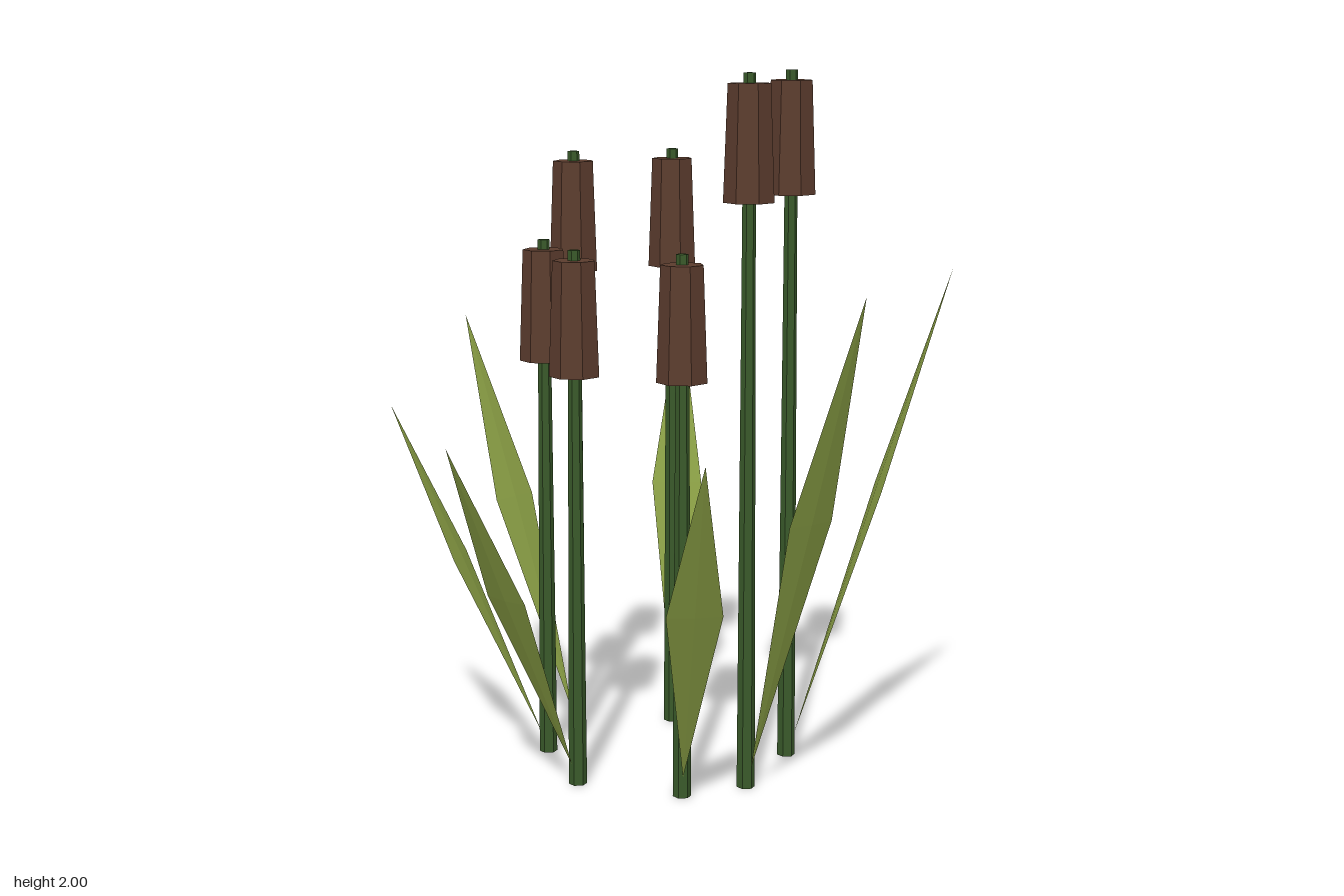
import * as THREE from 'three';

const headMat = new THREE.MeshStandardMaterial({ color: 0x5c3d2e, flatShading: true });
headMat.name = 'brown seed head';
const stemMat = new THREE.MeshStandardMaterial({ color: 0x3a5a2a, flatShading: true });
stemMat.name = 'dark green stem';
const leafMat = new THREE.MeshStandardMaterial({ color: 0x8a9f45, flatShading: true });
leafMat.name = 'light green leaf';

// One entry per reed: stem x, z, height, then leaf tip x, y, z
const REEDS = [
  [0.336, 0.02, 2.0, 0.8, 1.44, 0.062],
  [0.174, 0.288, 2.0, 0.42, 1.44, 0.677],
  [-0.015, 0.344, 1.52, -0.015, 1.03, 0.805],
  [-0.295, 0.202, 1.52, -0.66, 1.03, 0.486],
  [-0.357, -0.103, 1.52, -0.8, 1.03, -0.222],
  [-0.256, -0.271, 1.76, -0.565, 1.24, -0.61],
  [0.045, -0.357, 1.76, 0.127, 1.24, -0.81],
];

// Thin kite-shaped blade: an octahedron stretched from base to tip
function leafGeometry(base, tip) {
  const along = tip.clone().sub(base);
  const side = new THREE.Vector3(along.z, 0, -along.x).normalize();
  const normal = side.clone().cross(along).normalize();
  const middle = base.clone().addScaledVector(along, 0.54);
  const geometry = new THREE.OctahedronGeometry(1);
  const pos = geometry.attributes.position;
  const v = new THREE.Vector3();
  for (let i = 0; i < pos.count; i++) {
    v.fromBufferAttribute(pos, i);
    const p = v.y > 0.5 ? tip.clone() : v.y < -0.5 ? base.clone()
      : middle.clone().addScaledVector(side, v.x * 0.077).addScaledVector(normal, v.z * 0.005);
    pos.setXYZ(i, p.x, p.y, p.z);
  }
  geometry.computeVertexNormals();
  return geometry;
}

function addMesh(parent, name, geometry, material) {
  const mesh = new THREE.Mesh(geometry, material);
  mesh.name = name;
  parent.add(mesh);
  return mesh;
}

export function createModel() {
  const model = new THREE.Group();
  model.name = 'reedClump';

  for (const [x, z, height, tipX, tipY, tipZ] of REEDS) {
    const reed = new THREE.Group();
    reed.name = 'reed';
    reed.position.set(x, 0, z);
    model.add(reed);

    // Tapered stem, its tip showing above the head
    const stem = addMesh(reed, 'stem', new THREE.CylinderGeometry(0.017, 0.026, height, 6), stemMat);
    stem.position.y = height / 2;
    stem.rotation.y = -Math.PI / 2;

    // Seven-sided seed head
    const head = addMesh(reed, 'seedHead', new THREE.CylinderGeometry(0.06, 0.0715, 0.32, 7), headMat);
    head.position.y = height - 0.188;
    head.rotation.y = -Math.PI / 2;

    // Leaf leaning outwards from the foot of the stem
    const tip = new THREE.Vector3(tipX - x, tipY, tipZ - z);
    const base = new THREE.Vector3(tip.x, 0, tip.z).setLength(0.022).setY(0.06);
    addMesh(reed, 'leaf', leafGeometry(base, tip), leafMat);
  }
  return model;
}
